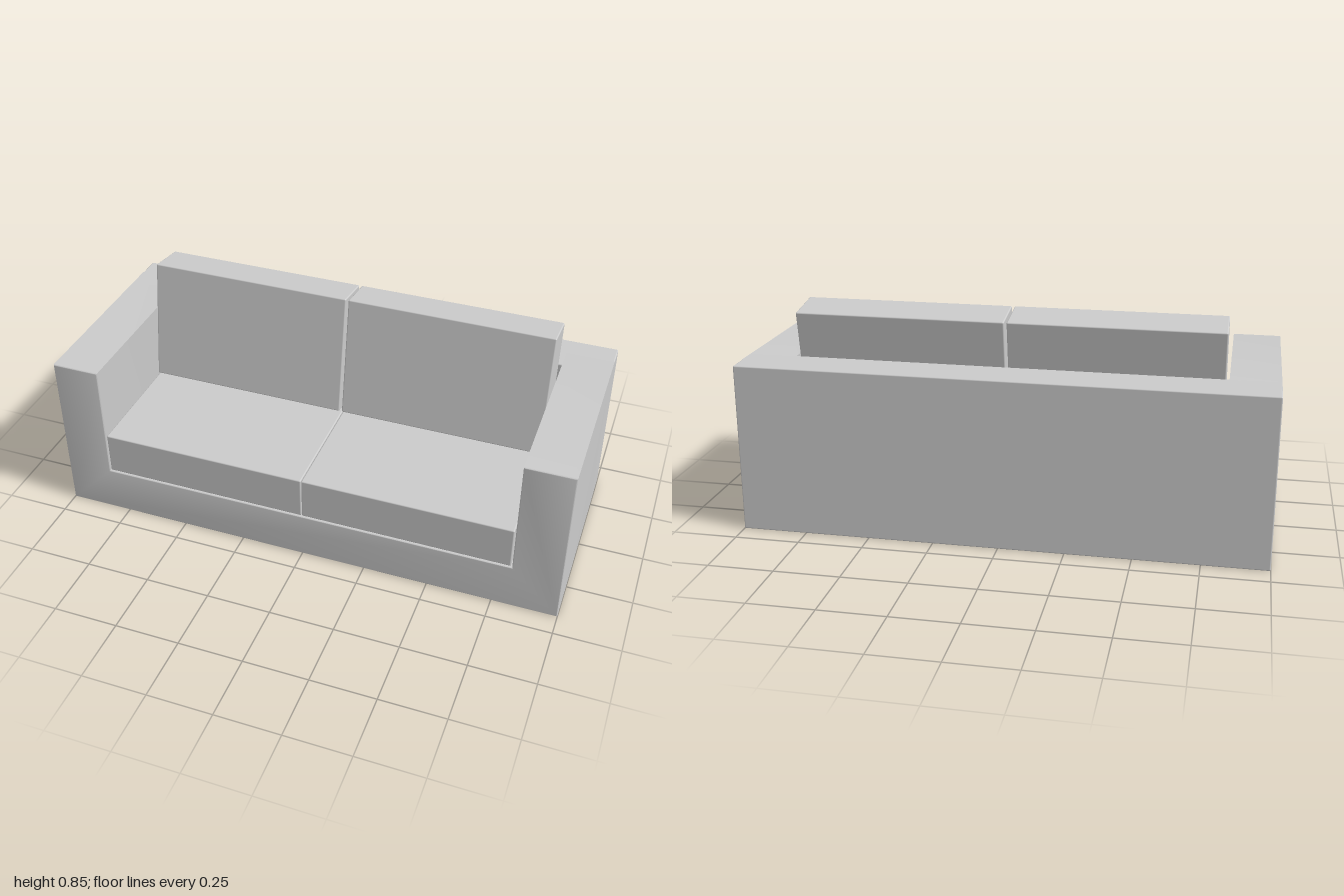
import * as THREE from 'three';
import { RoundedBoxGeometry } from 'three/addons/geometries/RoundedBoxGeometry.js';
import { toCreasedNormals } from 'three/addons/utils/BufferGeometryUtils.js';

const material = new THREE.MeshStandardMaterial({ color: 0xcccccc });
const EDGE = 0.005; // soft edge radius
const W = 1, H = 0.655, D = 0.415; // half width, height, half depth
const INNER = 0.815, DECK = 0.187, BACK = -0.238; // inside of arms, seat deck, backrest face

function add(parent, name, geometry, x, y, z) {
  const mesh = new THREE.Mesh(geometry, material);
  mesh.name = name;
  mesh.position.set(x, y, z);
  parent.add(mesh);
  return mesh;
}

const softBox = (w, h, d) => new RoundedBoxGeometry(w, h, d, 3, EDGE);

export function createModel() {
  const sofa = new THREE.Group();
  sofa.name = 'sofa';

  // Arms and base: one U-shaped front profile, run back into the backrest
  const profile = new THREE.Shape([
    [-W, 0], [W, 0], [W, H], [INNER, H], [INNER, DECK],
    [-INNER, DECK], [-INNER, H], [-W, H],
  ].map(([x, y]) => new THREE.Vector2(x, y)));
  const zEnd = -0.33;
  const body = new THREE.ExtrudeGeometry(profile, {
    depth: D - zEnd - 2 * EDGE, bevelThickness: EDGE, bevelSize: EDGE,
    bevelOffset: -EDGE, bevelSegments: 3,
  });
  add(sofa, 'armsAndBase', toCreasedNormals(body, 0.6), 0, 0, zEnd + EDGE);

  // Backrest panel across the full width
  const backDepth = BACK + D;
  add(sofa, 'backrest', softBox(2 * W, H, backDepth), 0, H / 2, -D + backDepth / 2);

  // Seat and back cushions, one pair per side
  for (const [side, s] of [['left', 1], ['right', -1]]) {
    const seatDepth = D - BACK - 0.002;
    add(sofa, side + 'SeatCushion', softBox(0.809, 0.169, seatDepth),
      s * 0.4055, 0.2775, D - seatDepth / 2);

    const back = add(sofa, side + 'BackCushion', softBox(0.798, 0.481, 0.1625),
      s * 0.404, 0.604, -0.14);
    back.rotation.x = -THREE.MathUtils.degToRad(9); // leans back over the panel
  }
  return sofa;
}
